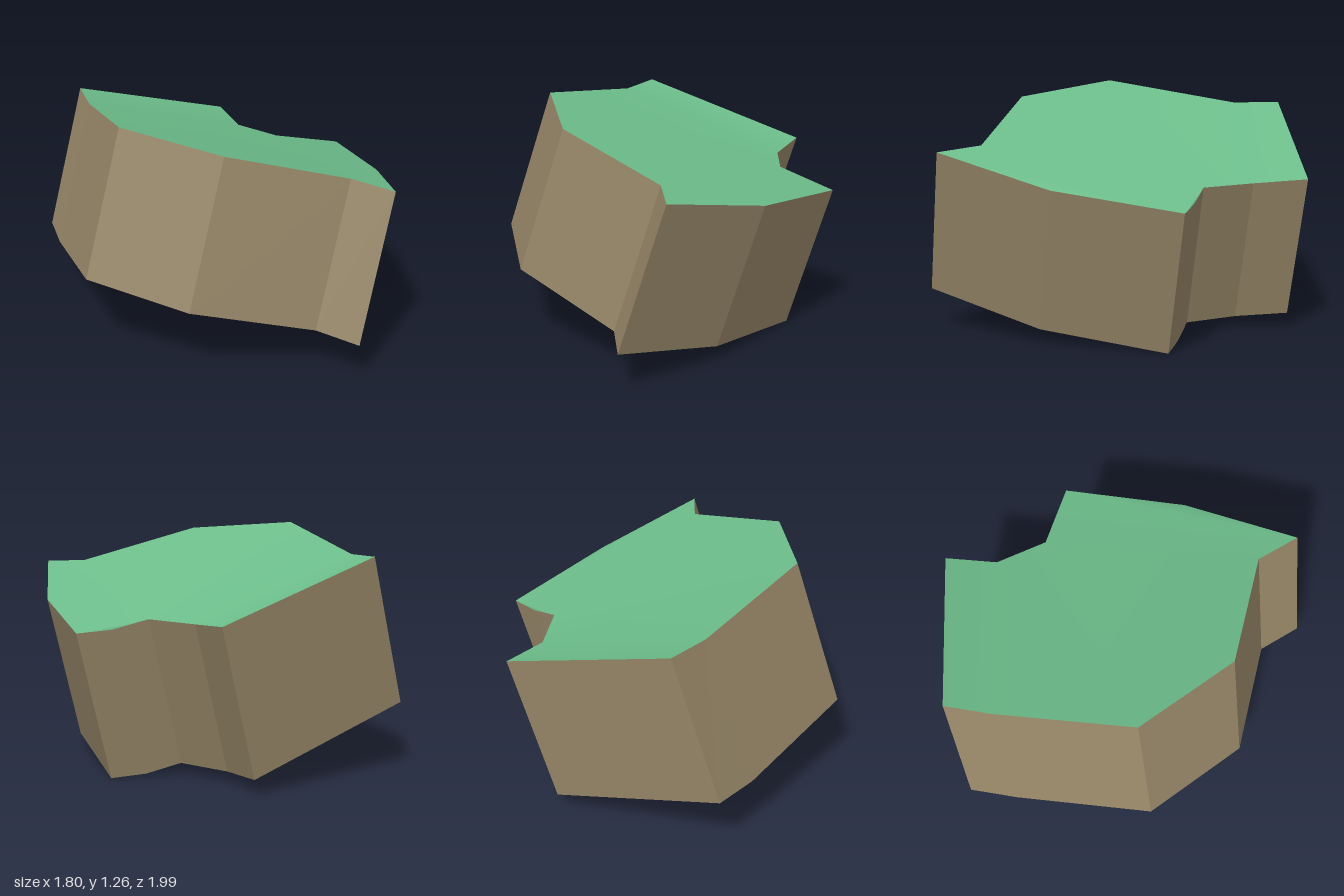
import * as THREE from 'three';

// Outline of the tilted grass surface, clockwise seen from above: x, y, z
const OUTLINE = [
  [-0.47, 1.155, -0.97], [0.47, 0.875, -1.0], [0.445, 0.85, -0.72], [0.555, 0.85, -0.45],
  [0.73, 0.803, -0.39], [0.9, 0.79, -0.33], [0.74, 0.875, 0.33], [0.45, 1.02, 0.92],
  [0.325, 1.035, 0.7], [-0.31, 1.21, 0.515], [-0.655, 1.262, 0.01], [-0.52, 1.145, -0.72],
];

// The underside is the same outline pushed along the tilted axis, slightly flared
const sink = ([x, y, z]) => [x * 1.015 - 0.235, Math.max(0, y - 0.788), z * 1.01 + 0.064];

// Smooth cap: a back strip, which curls up a little, plus the main area
function capGeometry(points, facesUp) {
  const last = points.length - 1;
  const main = [];
  for (let i = 2; i <= last; i++) main.push(i);
  const flat = main.map((i) => new THREE.Vector2(points[i][0], points[i][2]));
  const triangles = THREE.ShapeUtils.triangulateShape(flat, []).map((t) => t.map((k) => main[k]));
  triangles.push([0, 1, 2], [0, 2, last]);

  const index = [];
  for (const [a, b, c] of triangles) {
    const [A, B, C] = [points[a], points[b], points[c]];
    const turn = (B[2] - A[2]) * (C[0] - A[0]) - (B[0] - A[0]) * (C[2] - A[2]);
    if ((turn > 0) === facesUp) index.push(a, b, c);
    else index.push(a, c, b);
  }
  const geometry = new THREE.BufferGeometry();
  geometry.setAttribute('position', new THREE.Float32BufferAttribute(points.flat(), 3));
  geometry.setIndex(index);
  geometry.computeVertexNormals();
  return geometry;
}

// Flat wall panels between the two outlines
function wallGeometry(top, bottom) {
  const positions = [];
  top.forEach((a, i) => {
    const j = (i + 1) % top.length;
    positions.push(...a, ...top[j], ...bottom[j], ...a, ...bottom[j], ...bottom[i]);
  });
  const geometry = new THREE.BufferGeometry();
  geometry.setAttribute('position', new THREE.Float32BufferAttribute(positions, 3));
  geometry.computeVertexNormals();
  return geometry;
}

export function createModel() {
  const material = (name, color) => {
    const m = new THREE.MeshStandardMaterial({ color });
    m.name = name;
    return m;
  };
  const model = new THREE.Group();
  model.name = 'terrainBlock';
  const add = (name, geometry, mat) => {
    const mesh = new THREE.Mesh(geometry, mat);
    mesh.name = name;
    model.add(mesh);
  };

  const underside = OUTLINE.map(sink);
  add('grassTop', capGeometry(OUTLINE, true), material('grass green', 0x6cbd8a));
  add('earthWalls', wallGeometry(OUTLINE, underside), material('earth brown', 0x968667));
  add('underside', capGeometry(underside, false), material('dark navy', 0x06243a));
  return model;
}
